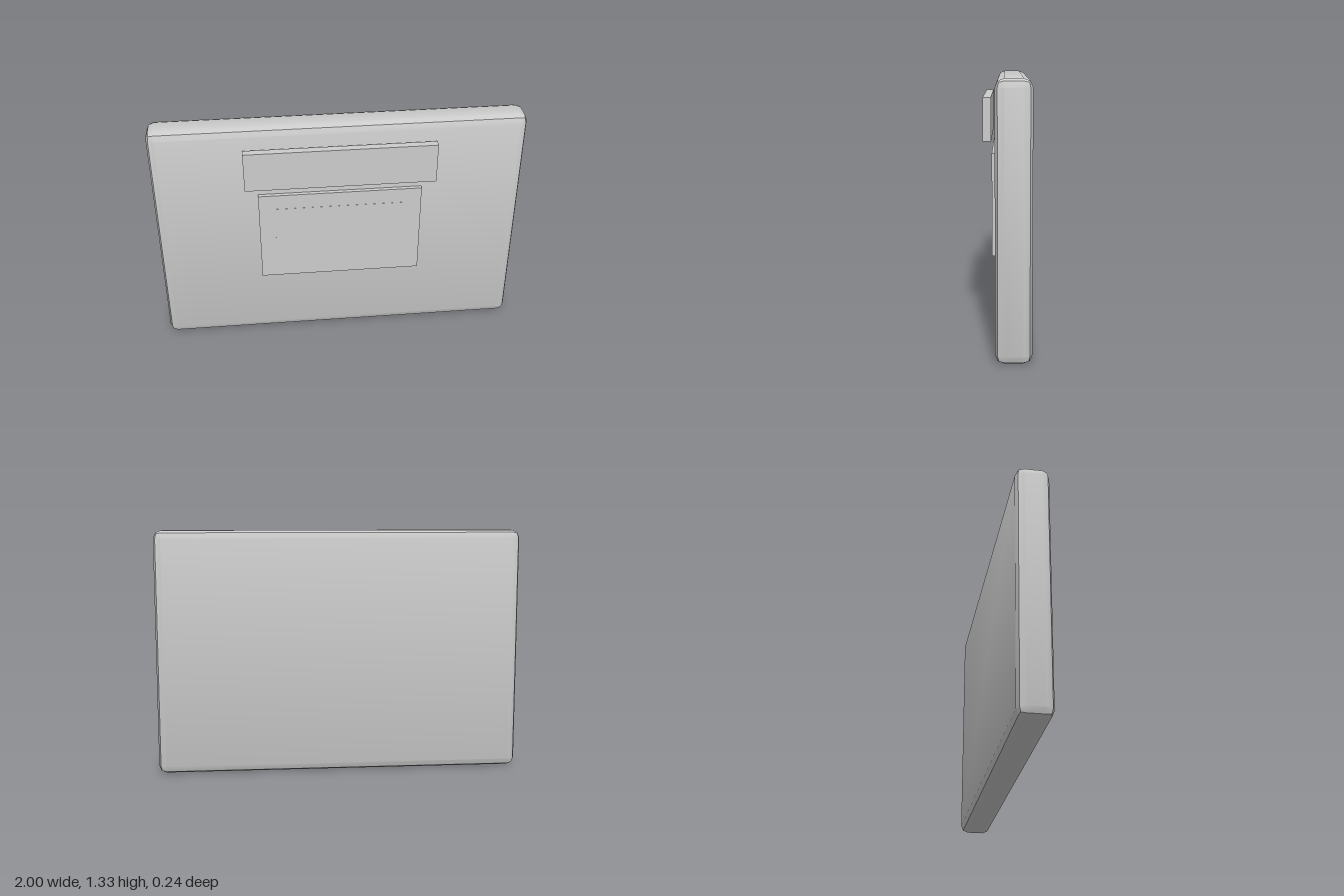
import * as THREE from 'three';
import { toCreasedNormals } from 'three/addons/utils/BufferGeometryUtils.js';
import { RoundedBoxGeometry } from 'three/addons/geometries/RoundedBoxGeometry.js';

const grey = new THREE.MeshStandardMaterial({ color: 0xcccccc });
grey.name = 'plain grey';

// Rectangle outline given by its half width and its bottom and top heights
function rectangle(Type, halfWidth, bottom, top) {
  return new Type([
    new THREE.Vector2(-halfWidth, bottom),
    new THREE.Vector2(halfWidth, bottom),
    new THREE.Vector2(halfWidth, top),
    new THREE.Vector2(-halfWidth, top),
  ]);
}

export function createModel() {
  const model = new THREE.Group();
  model.name = 'wallBoard';

  function addPart(name, geometry, x, y, z) {
    const mesh = new THREE.Mesh(geometry, grey);
    mesh.name = name;
    mesh.position.set(x, y, z);
    model.add(mesh);
  }

  // Thick board: two-step bevels, creased along the middle of each bevel
  const board = toCreasedNormals(new RoundedBoxGeometry(2, 1.33, 0.175, 1, 0.042), Math.PI / 6);
  addPart('board', board, 0, 0.665, -0.0325);

  // Picture frame with its opening
  const outline = rectangle(THREE.Shape, 0.443, 0.402, 0.936);
  outline.holes.push(rectangle(THREE.Path, 0.356, 0.49, 0.85));
  const frame = new THREE.ExtrudeGeometry(outline, { depth: 0.027, bevelEnabled: false });
  addPart('frame', frame, 0, 0, 0.05);

  // Panel filling the frame, almost flush with it
  addPart('framePanel', new THREE.BoxGeometry(0.712, 0.36, 0.028), 0, 0.67, 0.064);

  // Sign plate standing off the board above the frame
  addPart('signPlate', new THREE.BoxGeometry(1.022, 0.222, 0.042), 0, 1.113, 0.1);

  return model;
}
